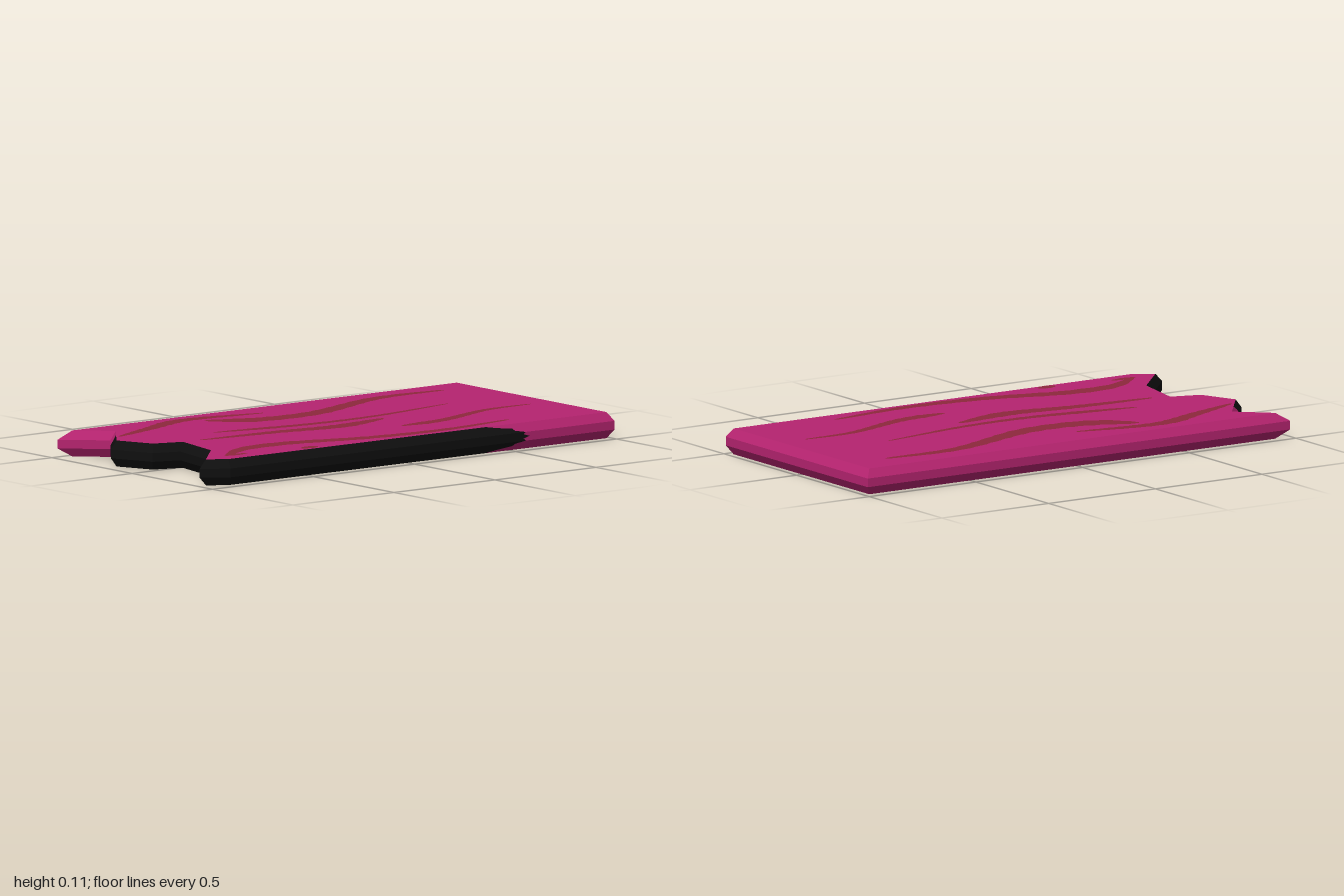
import * as THREE from 'three';

const mat = (name, color) => {
  const m = new THREE.MeshStandardMaterial({ color });
  m.name = name;
  return m;
};

// Plank outline [x, z], from the back right corner round the broken end to the front.
// Optional third value: how far this point slides along its edge at each level.
const OUTLINE = [
  [1, -0.49], [-0.98, -0.49], [-0.83, -0.35],
  [-0.877, -0.29, 0.25],
  [-0.97, -0.17], [-0.9, 0], [-0.79, 0.035], [-0.83, 0.24], [-1, 0.42], [-0.9, 0.487],
  [0.38, 0.487, 1],
  [1, 0.487],
];
const CHARRED_FROM = 3, CHARRED_TO = 10; // edges between these points are black

// Edge section: the bevels take the outer thirds of the thickness
const THICKNESS = 0.102, BEVEL = 0.034, INSET = 0.022, STEPS = 12;

// Outline at one level, moved inward with mitred corners
function ring(level) {
  const y = (THICKNESS * level) / STEPS;
  const inset = INSET * Math.max(0, 1 - Math.min(y, THICKNESS - y) / BEVEL);
  // The paint border bulges at mid height and is ragged
  const slide = 0.2 * Math.pow(Math.sin((Math.PI * level) / STEPS), 0.7) - (level % 2) * 0.025;
  const n = OUTLINE.length;
  const dir = (i) => {
    const a = OUTLINE[i % n], b = OUTLINE[(i + 1) % n];
    return new THREE.Vector2(b[0] - a[0], b[1] - a[1]).normalize();
  };
  return OUTLINE.map(([x, z, k = 0], i) => {
    const d0 = dir(i + n - 1), d1 = dir(i);
    const n0 = new THREE.Vector2(d0.y, -d0.x), n1 = new THREE.Vector2(d1.y, -d1.x);
    const m = n0.clone().add(n1).multiplyScalar(inset / (1 + n0.dot(n1)));
    return new THREE.Vector3(x + m.x + d1.x * slide * k, y, z + m.y + d1.y * slide * k);
  });
}

function meshOf(name, points, material) {
  const g = new THREE.BufferGeometry().setFromPoints(points);
  g.computeVertexNormals();
  const mesh = new THREE.Mesh(g, material);
  mesh.name = name;
  return mesh;
}

// Flat face filling a ring, facing up (1) or down (-1)
function cap(points, side) {
  const flat = points.map((p) => new THREE.Vector2(p.x, p.z));
  return THREE.ShapeUtils.triangulateShape(flat, []).flatMap(([a, b, c]) => {
    const up = flat[b].clone().sub(flat[a]).cross(flat[c].clone().sub(flat[a])) < 0 ? 1 : -1;
    return (up === side ? [a, b, c] : [a, c, b]).map((i) => points[i]);
  });
}

// Grain streak: smooth ribbon, widest at the fraction "peak" of its length
function streak(side, width, peak, ...path) {
  const y = side > 0 ? THICKNESS + 0.0015 : -0.0015;
  const curve = new THREE.CatmullRomCurve3(path.map(([x, z]) => new THREE.Vector3(x, y, z)));
  const steps = 40, out = [];
  const pair = (i) => {
    const t = i / steps, p = curve.getPointAt(t), d = curve.getTangentAt(t);
    const f = t < peak ? t / peak : (1 - t) / (1 - peak);
    const w = 0.5 * width * (0.15 + 0.85 * Math.pow(f, 0.6)) * (1 + 0.1 * Math.sin(i * 2.3));
    return [1, -1].map((s) => new THREE.Vector3(p.x - d.z * w * s, y, p.z + d.x * w * s));
  };
  for (let i = 0; i < steps; i++) {
    const [a, b] = pair(i), [c, d] = pair(i + 1);
    out.push(...(side > 0 ? [a, c, b, b, c, d] : [a, b, c, b, d, c]));
  }
  return out;
}

export function createModel() {
  const magenta = mat('magenta', 0xb62470);
  const black = mat('black', 0x0f0f0f);
  const brown = mat('reddish brown', 0x8e283c);
  const group = new THREE.Group();
  group.name = 'brokenPlank';

  // Bevelled edge, split into painted and blackened parts
  const rings = Array.from({ length: STEPS + 1 }, (_, l) => ring(l));
  const painted = [], charred = [];
  for (let l = 0; l < STEPS; l++) {
    const lo = rings[l], hi = rings[l + 1];
    OUTLINE.forEach((_, i) => {
      const j = (i + 1) % OUTLINE.length;
      const target = i >= CHARRED_FROM && i < CHARRED_TO ? charred : painted;
      target.push(lo[i], lo[j], hi[j], lo[i], hi[j], hi[i]);
    });
  }
  group.add(
    meshOf('paintedEdge', painted, magenta),
    meshOf('blackEdge', charred, black),
    meshOf('topFace', cap(rings[STEPS], 1), magenta),
    meshOf('bottomFace', cap(rings[0], -1), magenta),
  );

  // Wood grain on the top
  const topGrain = [
    streak(1, 0.065, 0.45, [-0.88, -0.23], [-0.67, -0.31], [-0.45, -0.39], [-0.08, -0.34]),
    streak(1, 0.095, 0.12, [-0.38, -0.33], [-0.22, -0.23], [0.05, -0.21], [0.5, -0.355], [0.82, -0.35]),
    streak(1, 0.045, 0.2, [-0.54, -0.08], [-0.1, -0.01], [0.2, -0.01], [0.62, -0.075]),
    streak(1, 0.075, 0.75, [-0.69, 0.035], [-0.35, 0.06], [-0.05, 0.1], [0.2, 0.055]),
    streak(1, 0.055, 0.15, [0.14, 0.245], [0.35, 0.23], [0.65, 0.135], [0.87, 0.13]),
    streak(1, 0.075, 0.2, [-0.85, 0.4], [-0.7, 0.31], [-0.5, 0.3], [-0.15, 0.39], [0.2, 0.42], [0.56, 0.38]),
    streak(1, 0.035, 0.5, [-0.86, 0.4], [-0.75, 0.4]),
    streak(1, 0.05, 0.5, [-0.51, 0.437], [-0.43, 0.437]),
  ];

  // Wood grain underneath, with a curled knot
  const bottomGrain = [
    streak(-1, 0.06, 0.6, [0.67, -0.31], [0.45, -0.29], [0.2, -0.22], [-0.23, -0.15]),
    streak(-1, 0.06, 0.6, [0.22, -0.24], [0.05, -0.3], [-0.4, -0.275], [-0.8, -0.41]),
    streak(-1, 0.07, 0.4, [0.32, 0.035], [0.47, 0.15], [0.28, 0.4], [0.076, 0.4], [-0.4, 0.13], [-0.73, 0.08]),
    streak(-1, 0.05, 0.5, [0.26, 0.196], [0.136, 0.238], [-0.04, 0.12], [-0.024, 0.003]),
    streak(-1, 0.035, 0.5, [-0.7, 0.41], [-0.86, 0.34]),
  ];
  group.add(
    meshOf('topGrain', topGrain.flat(), brown),
    meshOf('bottomGrain', bottomGrain.flat(), brown),
  );
  return group;
}
